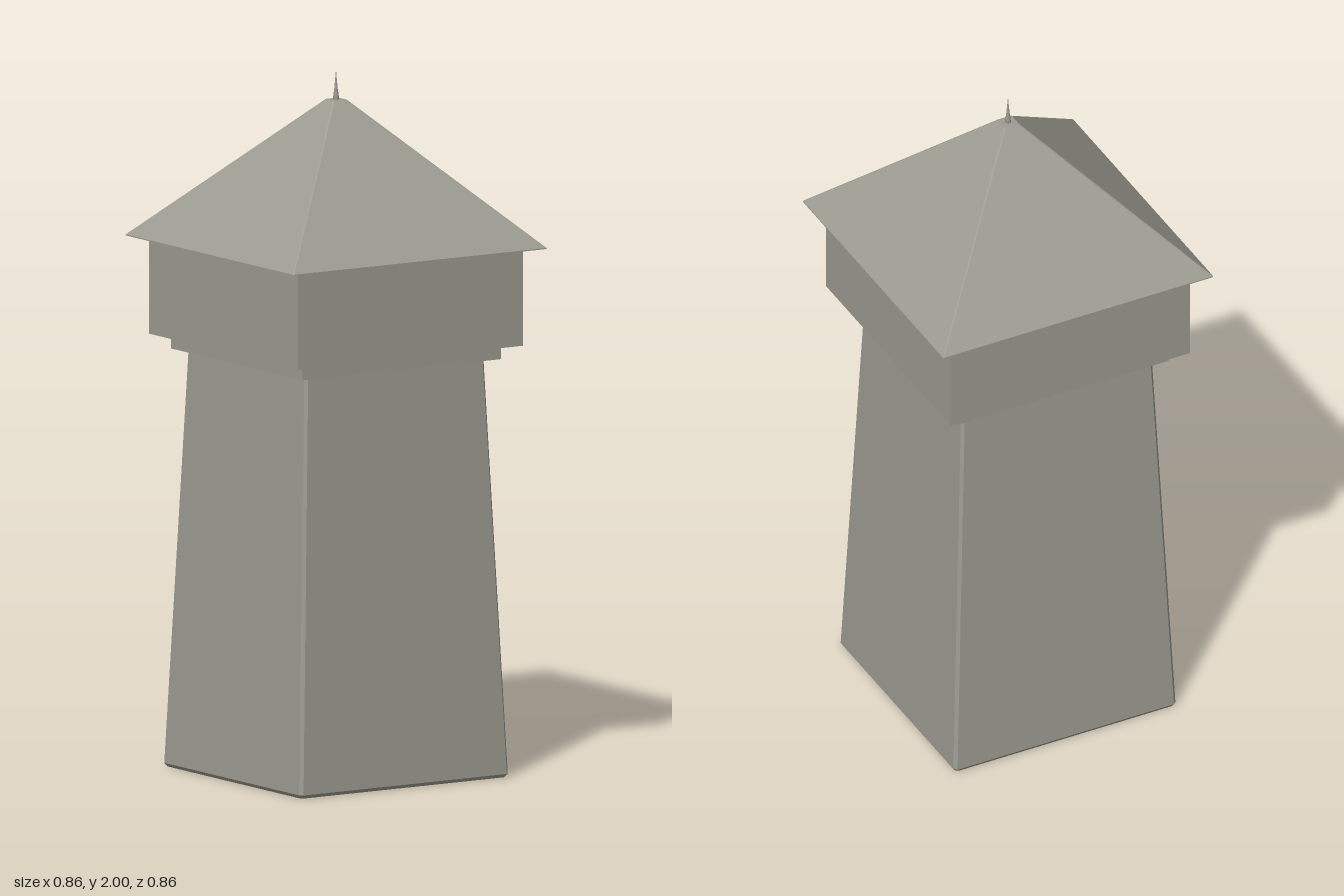
import * as THREE from 'three';

// Closed solid through square sections with cut corners: [y, half width, corner cut]
function squareLoft(sections) {
  const rings = sections.map(([y, h, c]) => [
    [-h + c, h], [h - c, h], [h, h - c], [h, -h + c],
    [h - c, -h], [-h + c, -h], [-h, -h + c], [-h, h - c],
  ].map(([x, z]) => [x, y, z]));
  const pos = [];
  const tri = (...corners) => corners.forEach((p) => pos.push(...p));
  for (let r = 0; r < rings.length - 1; r++) {
    const lo = rings[r], hi = rings[r + 1];
    for (let i = 0; i < 8; i++) {
      const j = (i + 1) % 8;
      tri(lo[i], lo[j], hi[j]);
      tri(lo[i], hi[j], hi[i]);
    }
  }
  const bottom = rings[0], top = rings[rings.length - 1];
  for (let i = 1; i < 7; i++) {
    tri(top[0], top[i], top[i + 1]);
    tri(bottom[0], bottom[i + 1], bottom[i]);
  }
  const geo = new THREE.BufferGeometry();
  geo.setAttribute('position', new THREE.Float32BufferAttribute(pos, 3));
  geo.computeVertexNormals();
  return geo;
}

export function createModel() {
  const group = new THREE.Group();
  const stone = new THREE.MeshStandardMaterial({ color: 0x9c9c92 });
  stone.name = 'stone grey';

  const add = (name, geometry, y = 0) => {
    const mesh = new THREE.Mesh(geometry, stone);
    mesh.name = name;
    mesh.position.y = y;
    group.add(mesh);
  };
  const slab = (name, half, y0, y1) =>
    add(name, new THREE.BoxGeometry(half * 2, y1 - y0, half * 2), (y0 + y1) / 2);

  // Tapered shaft with narrow bevels on the corners and foot
  add('shaft', squareLoft([[0, 0.345, 0.008], [0.01, 0.352, 0.009], [1.195, 0.302, 0.008]]));

  // Stepped collar and overhanging upper storey
  slab('collar', 0.335, 1.19, 1.232);
  slab('upperStorey', 0.379, 1.23, 1.512);

  // Pyramid roof with a small flat, bevelled tip
  add('roof', squareLoft([
    [1.508, 0.428, 0.003], [1.511, 0.428, 0.003], [1.909, 0.029, 0.004], [1.915, 0.023, 0.004],
  ]));

  // Thin spire: flared foot running to a point
  const profile = [[0, 1.905], [0.009, 1.905], [0.008, 1.925], [0.005, 1.945], [0, 2]]
    .map(([r, y]) => new THREE.Vector2(r, y));
  add('spire', new THREE.LatheGeometry(profile, 8));

  return group;
}
